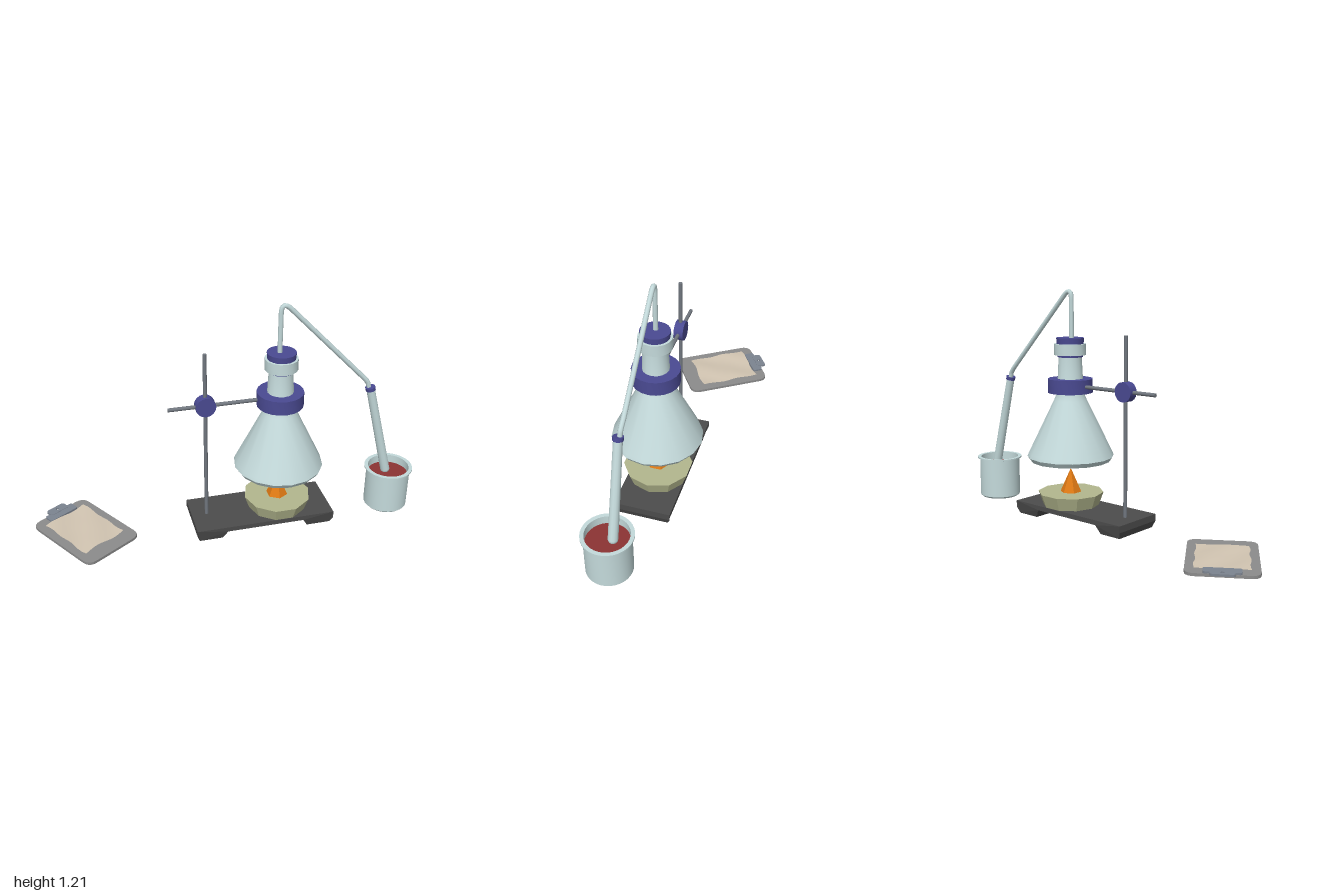
import * as THREE from 'three';
import { toCreasedNormals } from 'three/addons/utils/BufferGeometryUtils.js';

const V = (x, y, z) => new THREE.Vector3(x, y, z);
const AX = 0.26, AZ = 0.055; // vertical axis of flask and burner

const mat = (color, opts = {}) => new THREE.MeshStandardMaterial({ color, ...opts });
const glass = mat(0xc4dadb, { side: THREE.DoubleSide });
const purple = mat(0x4a4a92);
const steel = mat(0x727880);
const iron = mat(0x4c4c4c, { flatShading: true });

export function createModel() {
  const model = new THREE.Group();

  const add = (name, geo, material, x = 0, y = 0, z = 0, parent = model) => {
    const m = new THREE.Mesh(geo, material);
    m.name = name;
    m.position.set(x, y, z);
    parent.add(m);
    return m;
  };
  const lathe = (pts, n) =>
    toCreasedNormals(new THREE.LatheGeometry(pts.map(p => new THREE.Vector2(...p)), n), 0.6);
  // Cylinder running from a to b
  const rod = (name, a, b, rA, rB, n, material) => {
    const d = b.clone().sub(a);
    const m = add(name, new THREE.CylinderGeometry(rB, rA, d.length(), n), material);
    m.position.copy(a).addScaledVector(d, 0.5);
    m.quaternion.setFromUnitVectors(V(0, 1, 0), d.normalize());
    return m;
  };

  // Base plate with two feet, tapering inwards at the floor
  const profile = new THREE.Shape([
    [-0.2, 0.07], [-0.2, 0.035], [-0.187, 0], [-0.065, 0], [-0.04, 0.045],
    [0.365, 0.045], [0.39, 0], [0.517, 0], [0.53, 0.035], [0.53, 0.07],
  ].map(p => new THREE.Vector2(...p)));
  const baseGeo = new THREE.ExtrudeGeometry(profile, { depth: 0.29, bevelEnabled: false });
  baseGeo.translate(0, 0, -0.145);
  const bp = baseGeo.attributes.position;
  for (let i = 0; i < bp.count; i++) if (bp.getY(i) < 0.01) bp.setZ(i, bp.getZ(i) * 0.9);
  baseGeo.computeVertexNormals();
  add('standBase', baseGeo, iron, 0, 0, AZ);

  // Stand rods, clamp and collar
  rod('standRod', V(-0.12, 0.06, AZ - 0.005), V(-0.12, 0.99, AZ - 0.005), 0.01, 0.01, 8, steel);
  rod('clampArm', V(-0.305, 0.712, AZ - 0.005), V(0.17, 0.712, AZ - 0.005), 0.01, 0.01, 8, steel);
  rod('clampKnob', V(-0.12, 0.712, 0.025), V(-0.12, 0.712, 0.073), 0.051, 0.051, 16, purple);
  add('flaskCollar', lathe([[0.06, 0.675], [0.118, 0.675], [0.118, 0.748], [0.06, 0.748], [0.06, 0.675]], 20),
    purple, AX, 0, AZ);

  // Conical flask with neck and lip
  add('flask', lathe([
    [0, 0.313], [0.213, 0.313], [0.229, 0.337], [0.222, 0.355], [0.086, 0.635], [0.07, 0.675],
    [0.06, 0.87], [0.083, 0.872], [0.083, 0.93], [0.066, 0.93], [0.055, 0.87],
  ], 16), glass, AX, 0, AZ);
  add('stopper', new THREE.CylinderGeometry(0.073, 0.066, 0.1, 20), purple, AX, 0.911, AZ);

  // Burner dish and flame
  const dish = add('burnerDish', new THREE.CylinderGeometry(0.175, 0.15, 0.07, 10),
    mat(0xb3b78e, { flatShading: true }), AX, 0.105, AZ);
  dish.rotation.y = Math.PI / 2;
  add('flame', new THREE.ConeGeometry(0.057, 0.128, 6), mat(0xe07a14, { flatShading: true }), AX, 0.203, AZ);

  // Bent delivery pipe: straight runs joined by curved elbows
  const pipe = new THREE.CurvePath();
  const p = [
    V(0.25, 0.94, AZ), V(0.25, 1.16, AZ), V(0.25, 1.225, AZ), V(0.297, 1.182, AZ),
    V(0.685, 0.782, 0.06), V(0.713, 0.755, 0.062), V(0.72, 0.74, 0.063), V(0.733, 0.69, 0.065),
  ];
  pipe.add(new THREE.LineCurve3(p[0], p[1]));
  pipe.add(new THREE.QuadraticBezierCurve3(p[1], p[2], p[3]));
  pipe.add(new THREE.LineCurve3(p[3], p[4]));
  pipe.add(new THREE.QuadraticBezierCurve3(p[4], p[5], p[6]));
  pipe.add(new THREE.LineCurve3(p[6], p[7]));
  add('deliveryPipe', new THREE.TubeGeometry(pipe, 80, 0.0125, 8), glass);

  // Test tube leaning into the beaker
  const top = V(0.733, 0.71, 0.07), tip = V(0.86, 0.21, 0.072);
  const along = tip.clone().sub(top).normalize();
  rod('testTube', tip, top, 0.025, 0.022, 12, glass);
  add('testTubeTip', new THREE.SphereGeometry(0.025, 12, 8), glass).position.copy(tip);
  rod('testTubeCap', top.clone().addScaledVector(along, 0.008), top.clone().addScaledVector(along, -0.01),
    0.026, 0.026, 12, purple);

  // Beaker with flared rim, and its liquid
  add('beaker', lathe([
    [0, 0.008], [0.104, 0.008], [0.114, 0.018], [0.114, 0.23], [0.126, 0.233], [0.126, 0.24],
    [0.107, 0.24], [0.107, 0.03], [0, 0.03],
  ], 32), glass, 0.867, 0, 0.096);
  add('liquid', new THREE.CylinderGeometry(0.1065, 0.1065, 0.165, 32), mat(0x8c3434), 0.867, 0.114, 0.096);

  // Clipboard lying at an angle
  const board = new THREE.Group();
  board.name = 'clipboard';
  board.position.set(-0.747, 0, -0.018);
  board.rotation.y = 0.575;
  model.add(board);
  const slab = (name, w, l, r, h, y, z, material, hole) => {
    const s = new THREE.Shape(), a = w / 2, b = l / 2;
    s.moveTo(-a + r, -b).lineTo(a - r, -b).quadraticCurveTo(a, -b, a, -b + r)
      .lineTo(a, b - r).quadraticCurveTo(a, b, a - r, b)
      .lineTo(-a + r, b).quadraticCurveTo(-a, b, -a, b - r)
      .lineTo(-a, -b + r).quadraticCurveTo(-a, -b, -a + r, -b);
    if (hole) s.holes.push(new THREE.Path().absarc(0, 0, hole, 0, Math.PI * 2, true));
    const g = new THREE.ExtrudeGeometry(s, { depth: h, bevelEnabled: false, curveSegments: 5 });
    g.rotateX(-Math.PI / 2);
    add(name, g, material, 0, y, z, board);
  };
  const clipSteel = mat(0x7c8490);
  slab('backingBoard', 0.334, 0.468, 0.05, 0.014, 0.011, 0, mat(0x8c8c8c));
  slab('clipPlate', 0.17, 0.055, 0.012, 0.01, 0.025, -0.205, clipSteel);
  slab('clipTab', 0.11, 0.05, 0.015, 0.01, 0.027, -0.24, clipSteel, 0.009);

  // Slightly rippled sheet of paper
  const sheet = new THREE.PlaneGeometry(0.25, 0.33, 8, 10).rotateX(-Math.PI / 2);
  const sp = sheet.attributes.position;
  for (let i = 0; i < sp.count; i++) {
    const x = sp.getX(i), z = sp.getZ(i);
    sp.setXYZ(i, x + 0.004 * Math.sin(z * 40), 0.0035 + 0.003 * Math.sin(x * 28 + z * 17), z + 0.005 * Math.sin(x * 32));
  }
  sheet.computeVertexNormals();
  add('paper', sheet, mat(0xd2c5b2, { side: THREE.DoubleSide }), 0, 0.026, -0.012, board);

  return model;
}
